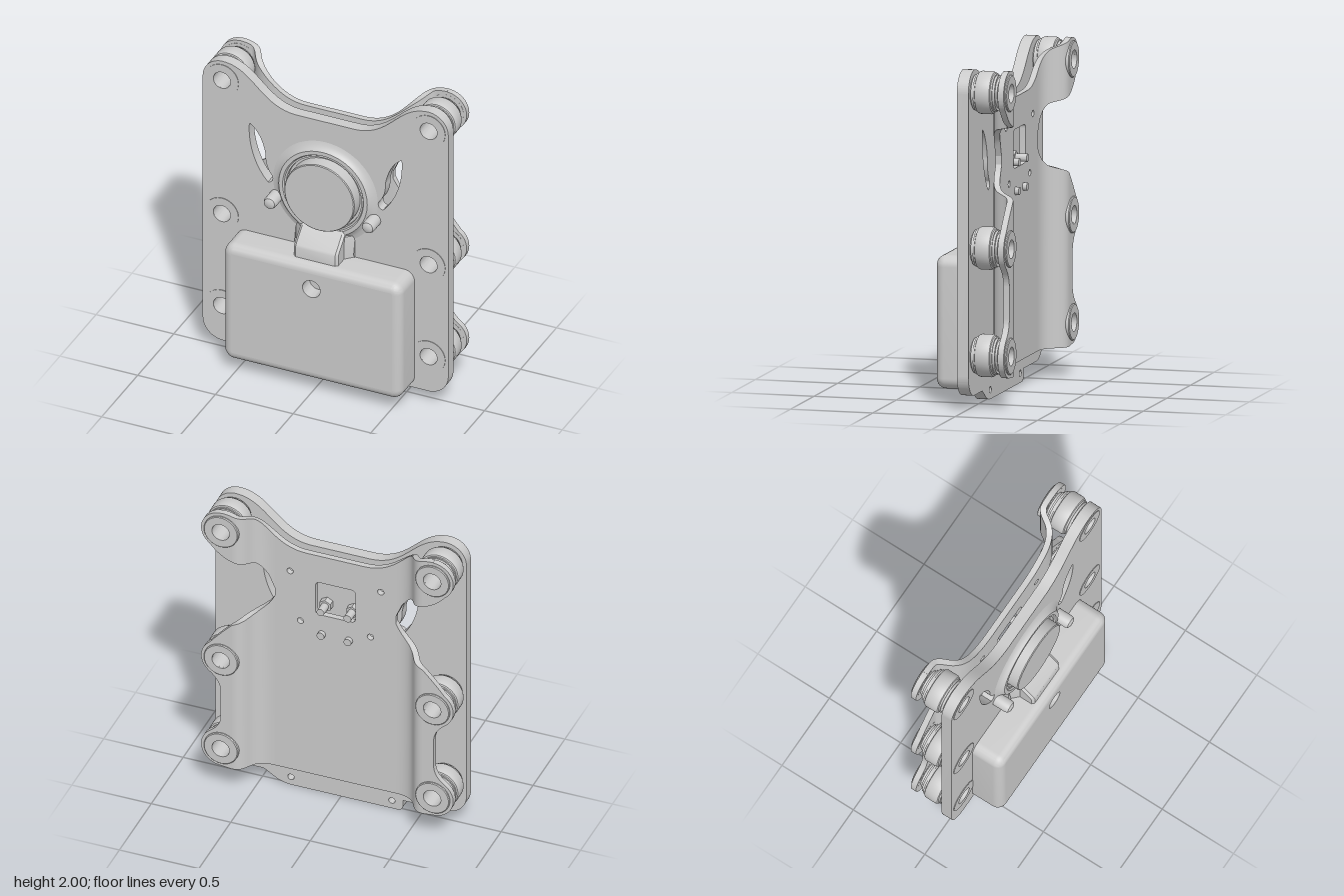
import * as THREE from 'three';
import { toCreasedNormals } from 'three/addons/utils/BufferGeometryUtils.js';

const V2 = (p) => new THREE.Vector2(p[0], p[1]);
const ROLLERS = [1.87, 0.95, 0.315];
const RX = 0.665, BORE = 0.055;

// Curved shoulder of the top edge, from the dip out to the corner
const TOP = new THREE.CubicBezierCurve(V2([0.18, 1.755]), V2([0.42, 1.755]), V2([0.46, 2]), V2([RX, 2]))
  .getPoints(24).map((p) => [p.x, p.y]);

// Linear look-up of y at x in a short list of points
function yAt(points, x) {
  for (let i = 1; i < points.length; i++) {
    const [a, b] = [points[i - 1], points[i]];
    if (x <= b[0]) return a[1] + (b[1] - a[1]) * (x - a[0]) / (b[0] - a[0]);
  }
  return points[points.length - 1][1];
}

function circle(x, y, r) {
  return new THREE.Path().absarc(x, y, r, 0, Math.PI * 2, true);
}

function plate(shape, z0, z1) {
  const geo = new THREE.ExtrudeGeometry(shape, { depth: z1 - z0, bevelEnabled: false, curveSegments: 20 });
  return toCreasedNormals(geo.translate(0, 0, z0), 0.6);
}

// Turned part about the z axis; points are [radius, z]
function turned(points, x, y, segments = 48) {
  const geo = new THREE.LatheGeometry(points.map(V2), segments).rotateX(Math.PI / 2);
  return toCreasedNormals(geo.translate(x, y, 0), 0.6);
}

// Skin through closed loops of equal length
function loft(rings) {
  const n = rings[0].length, index = [];
  for (let i = 0; i + 1 < rings.length; i++) {
    for (let j = 0; j < n; j++) {
      const k = (j + 1) % n;
      const a = i * n + j, b = i * n + k, c = b + n, d = a + n;
      index.push(a, b, c, a, c, d);
    }
  }
  const geo = new THREE.BufferGeometry();
  geo.setAttribute('position', new THREE.Float32BufferAttribute(rings.flat(2), 3));
  geo.setIndex(index);
  return toCreasedNormals(geo, 0.6);
}

// Mirror in x and turn the triangles round again
function mirrored(source) {
  const geo = source.clone().scale(-1, 1, 1);
  for (const name of ['position', 'normal']) {
    const a = geo.attributes[name].array;
    for (let t = 0; t < a.length; t += 9) {
      for (let k = 0; k < 3; k++) [a[t + 3 + k], a[t + 6 + k]] = [a[t + 6 + k], a[t + 3 + k]];
    }
  }
  return geo;
}

function roundedRect(w, h, r) {
  const s = new THREE.Shape(), q = Math.PI / 2;
  s.absarc(w - r, h - r, r, 0, q);
  s.absarc(r - w, h - r, r, q, 2 * q);
  s.absarc(r - w, r - h, r, 2 * q, 3 * q);
  s.absarc(w - r, r - h, r, 3 * q, 4 * q);
  return s.getPoints(6);
}

export function createModel() {
  const model = new THREE.Group();
  const material = new THREE.MeshStandardMaterial({ color: 0xcccccc });
  const add = (name, geo) => {
    const mesh = new THREE.Mesh(geo, material);
    mesh.name = name;
    model.add(mesh);
  };
  const addPair = (name, geo) => {
    add(name + 'Left', geo);
    add(name + 'Right', mirrored(geo));
  };
  const q = Math.PI / 2;

  // Front plate with bores and two leaf-shaped slots
  const front = new THREE.Shape();
  front.absarc(0.66, 0.205, 0.13, -q, 0);
  front.absarc(0.66, 1.87, 0.13, 0, q);
  [...TOP].reverse().forEach(([x, y]) => front.lineTo(x, y));
  TOP.forEach(([x, y]) => front.lineTo(-x, y));
  front.absarc(-0.66, 1.87, 0.13, q, 2 * q);
  front.absarc(-0.66, 0.205, 0.13, 2 * q, 3 * q);
  for (const s of [-1, 1]) {
    ROLLERS.forEach((y) => front.holes.push(circle(s * RX, y, BORE)));
    const slot = new THREE.Path();
    slot.moveTo(s * 0.49, 1.62);
    slot.bezierCurveTo(s * 0.5, 1.47, s * 0.45, 1.33, s * 0.37, 1.245);
    slot.quadraticCurveTo(s * 0.335, 1.25, s * 0.34, 1.29);
    slot.quadraticCurveTo(s * 0.39, 1.35, s * 0.385, 1.43);
    slot.quadraticCurveTo(s * 0.41, 1.57, s * 0.49, 1.62);
    front.holes.push(slot);
  }
  add('frontPlate', plate(front, -0.02, 0.05));

  // Lower lug below the front plate, with a thin ledge on its face
  const lug = new THREE.Shape();
  lug.moveTo(-0.39, 0.09);
  lug.lineTo(-0.39, 0.04);
  lug.quadraticCurveTo(-0.39, 0, -0.35, 0);
  lug.lineTo(0.3, 0);
  lug.bezierCurveTo(0.4, 0, 0.42, 0.04, 0.49, 0.075);
  lug.lineTo(0.49, 0.09);
  lug.holes.push(circle(-0.32, 0.055, 0.02), circle(0.315, 0.055, 0.02));
  add('lowerLug', plate(lug, -0.018, 0.048));
  add('lugLedge', new THREE.BoxGeometry(0.54, 0.035, 0.02).translate(0, 0.07, 0.048));

  // Rear bracket: flat centre panel with window and screw holes
  const centre = new THREE.Shape();
  const inner = TOP.filter(([x]) => x < 0.379);
  inner.push([0.38, yAt(TOP, 0.38)]);
  centre.moveTo(-0.38, 0.18);
  centre.lineTo(0.38, 0.18);
  [...inner].reverse().forEach(([x, y]) => centre.lineTo(x, y));
  inner.forEach(([x, y]) => centre.lineTo(-x, y));
  centre.holes.push(new THREE.Path(roundedRect(0.125, 0.115, 0.025).map((p) => V2([p.x, p.y + 1.45]))));
  for (const s of [-1, 1]) {
    centre.holes.push(circle(s * 0.285, 1.6, 0.02), circle(s * 0.22, 1.26, 0.02));
  }
  add('bracketPanel', plate(centre, -0.105, -0.069));

  // Rear bracket: curved webs stepping back to the flanges
  const step = new THREE.CubicBezierCurve(V2([0.38, -0.087]), V2([0.56, -0.087]), V2([0.51, -0.217]), V2([0.6, -0.217]));
  const web = (top, bottom) => {
    const rings = [];
    for (let i = 0; i <= 24; i++) {
      const p = step.getPoint(i / 24), t = step.getTangent(i / 24).multiplyScalar(0.018);
      const y0 = yAt(bottom, p.x), y1 = yAt(top, p.x);
      const back = [p.x + t.y, p.y - t.x], face = [p.x - t.y, p.y + t.x];
      rings.push([[back[0], y0, back[1]], [back[0], y1, back[1]], [face[0], y1, face[1]], [face[0], y0, face[1]]]);
    }
    return loft(rings);
  };
  const notchTop = [[0.38, 1.45], [0.42, 1.54], [0.46, 1.59], [0.5, 1.625], [0.6, 1.665]];
  const notchBottom = [[0.38, 1.4], [0.41, 1.345], [0.45, 1.305], [0.5, 1.265], [0.6, 1.21]];
  addPair('upperWeb', web(TOP, notchTop));
  addPair('lowerWeb', web(notchBottom, [[0.38, 0.18], [0.6, 0.18]]));

  // Rear bracket: flanges that carry the rollers
  const upper = new THREE.Shape();
  upper.absarc(RX, 1.87, 0.128, -q * 0.6, q);
  [...TOP].reverse().filter(([x]) => x > 0.601).forEach(([x, y]) => upper.lineTo(x, y));
  upper.lineTo(0.6, yAt(TOP, 0.6));
  upper.lineTo(0.6, 1.665);
  upper.quadraticCurveTo(0.68, 1.69, 0.74, 1.766);
  upper.holes.push(circle(RX, ROLLERS[0], BORE));
  addPair('upperFlange', plate(upper, -0.235, -0.199));

  const lower = new THREE.Shape();
  lower.absarc(RX, 0.315, 0.128, -q, q * 0.6);
  lower.quadraticCurveTo(0.67, 0.47, 0.67, 0.54);
  lower.lineTo(0.67, 0.72);
  lower.quadraticCurveTo(0.67, 0.79, 0.74, 0.846);
  lower.absarc(RX, 0.95, 0.128, -q * 0.6, q * 0.6);
  lower.quadraticCurveTo(0.68, 1.13, 0.6, 1.21);
  lower.lineTo(0.6, 0.18);
  lower.holes.push(circle(RX, 0.95, BORE), circle(RX, 0.315, BORE));
  addPair('lowerFlange', plate(lower, -0.235, -0.199));

  // Hollow rollers with stepped shoulders, a rear cap and a front collar
  const roller = [[BORE, -0.247], [0.103, -0.247], [0.108, -0.242], [0.108, -0.198], [0.08, -0.198], [0.08, -0.185],
    [0.09, -0.185], [0.09, -0.172], [0.105, -0.172], [0.105, -0.158], [0.113, -0.158], [0.113, -0.148],
    [0.121, -0.144], [0.126, -0.132], [0.126, -0.068], [0.121, -0.056], [0.113, -0.052], [0.113, -0.042],
    [0.105, -0.042], [0.105, -0.028], [0.09, -0.028], [0.09, 0.03], [0.106, 0.03], [0.106, 0.054],
    [BORE, 0.054], [BORE, -0.247]];
  ROLLERS.forEach((y, i) => addPair('roller' + (i + 1), turned(roller, RX, y)));

  // Round lens in a sloped bezel
  add('lens', turned([[0.34, 0.049], [0.315, 0.056], [0.295, 0.07], [0.285, 0.085], [0.26, 0.085], [0.253, 0.075],
    [0.242, 0.075], [0.24, 0.055], [0.225, 0.055], [0.225, 0.134], [0.22, 0.139], [0, 0.139]], 0, 1.28, 72));

  // Round-nosed pegs beside the lens
  addPair('peg', turned([[0.04, 0.04], [0.04, 0.135], [0.034, 0.15], [0.022, 0.157], [0, 0.159]], 0.316, 1.165, 24));

  // Screws and nuts behind the lens
  for (const y of [1.37, 1.2]) {
    addPair('nut', turned([[0, -0.06], [0.04, -0.06], [0.04, -0.015]], 0.085, y, 6));
    addPair('screw', turned([[0, -0.13], [0.024, -0.13], [0.024, -0.05]], 0.085, y, 20));
  }

  // Front box with rounded edges and a round recess
  const CY = 0.48, FR = 0.055, FZ = 0.247;
  const outline = (inset) => roundedRect(0.573 - inset, 0.395 - inset, 0.066 - inset)
    .map((p) => V2([p.x, p.y + CY]));
  const rings = [outline(0).map((p) => [p.x, p.y, 0.045])];
  for (let i = 0; i <= 8; i++) {
    const a = q * i / 8;
    rings.push(outline(FR * (1 - Math.cos(a))).map((p) => [p.x, p.y, FZ - FR + FR * Math.sin(a)]));
  }
  add('boxShell', loft(rings));
  const face = new THREE.Shape(outline(FR));
  face.holes.push(circle(0, 0.715, 0.057));
  add('boxFace', new THREE.ShapeGeometry(face, 24).translate(0, 0, FZ));
  add('boxRecess', turned([[0.057, FZ], [0.057, 0.15], [0, 0.15]], 0, 0.715));

  // Sloped bridge from the box up to the lens, over a wider foot; ends close on a point
  const bridge = (profile, halfWidth, taper) => {
    const side = (x, drop) => profile.map(([y, z]) => [x, y, Math.max(0.045, z - drop)]);
    const end = (x) => profile.map(() => [x, 0.9, 0.07]);
    return loft([end(-halfWidth), side(-halfWidth, taper), side(taper - halfWidth, 0),
      side(halfWidth - taper, 0), side(halfWidth, taper), end(halfWidth)]);
  };
  add('bridge', bridge([[0.85, 0.045], [1.05, 0.045], [1.05, 0.085], [0.955, 0.185], [0.94, 0.193], [0.85, 0.193]], 0.142, 0.015));
  add('bridgeFoot', bridge([[0.85, 0.045], [1.03, 0.045], [1.02, 0.09], [0.98, 0.1], [0.85, 0.1]], 0.19, 0.05));

  return model;
}
